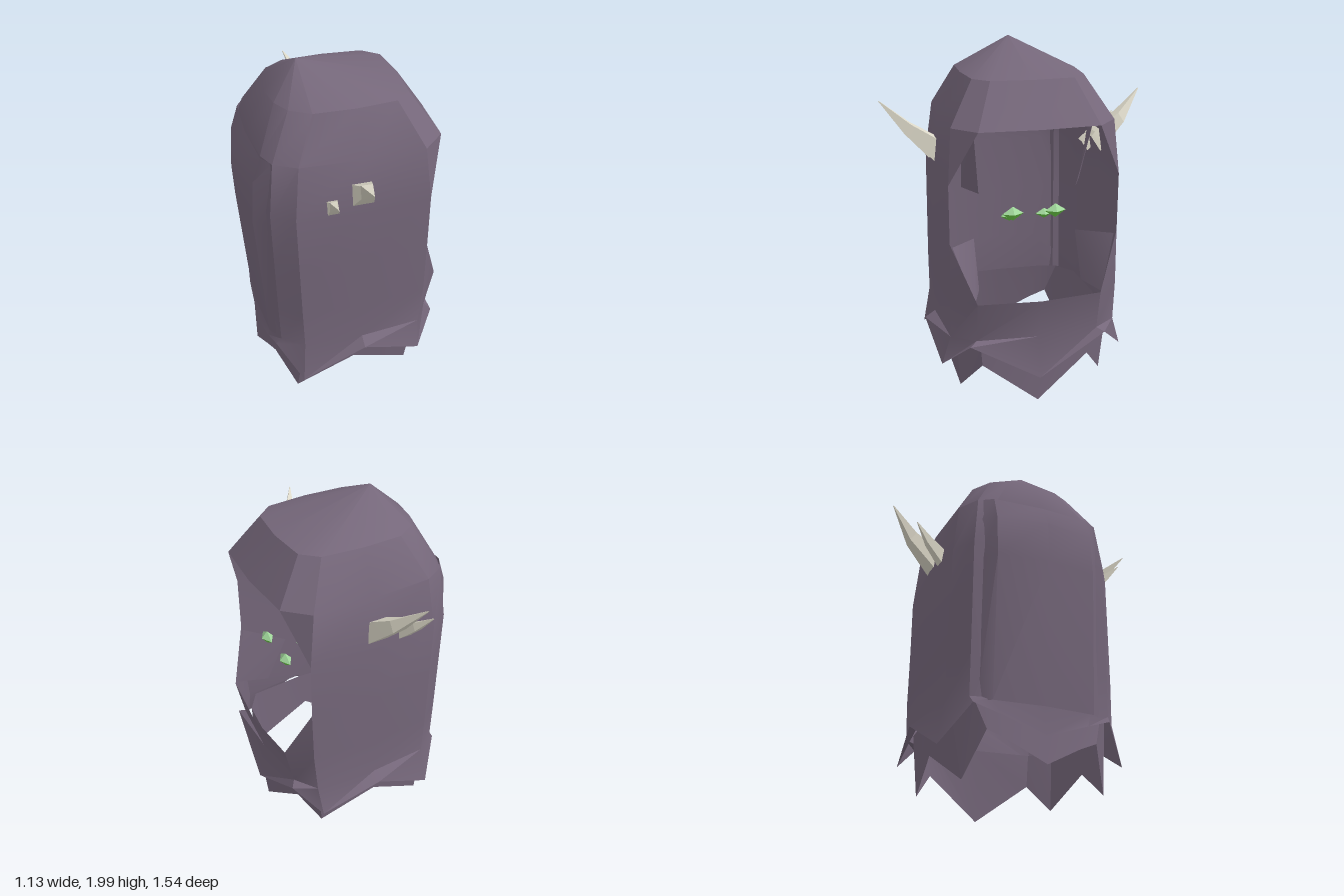
import * as THREE from 'three';
import { toCreasedNormals } from 'three/addons/utils/BufferGeometryUtils.js';

// Joins cross-sections (arrays of [x, y, z]) from top to bottom
function loft(rings, closed, crease = 0.5, skip = () => false) {
  const pos = [];
  const n = rings[0].length;
  for (let r = 0; r < rings.length - 1; r++) {
    for (let i = 0; i < (closed ? n : n - 1); i++) {
      if (skip(r, i)) continue;
      const j = (i + 1) % n;
      const a = rings[r][i], b = rings[r][j], c = rings[r + 1][j], d = rings[r + 1][i];
      pos.push(...a, ...b, ...c, ...a, ...c, ...d);
    }
  }
  const g = new THREE.BufferGeometry();
  g.setAttribute('position', new THREE.Float32BufferAttribute(pos, 3));
  return toCreasedNormals(g, crease);
}

// Half section from face (z = 0) to back (z = 0), completed by mirroring in z
function mirrorRing(half) {
  const other = half.slice(1, -1).reverse().map(([x, y, z]) => [x, y, -z]);
  return [...half, ...other];
}
const level = (y, pts) => mirrorRing(pts.map(([x, z]) => [x, y, z]));

export function createModel() {
  const model = new THREE.Group();
  const material = (name, color, side = THREE.FrontSide) => {
    const m = new THREE.MeshStandardMaterial({ color, side });
    m.name = name;
    return m;
  };
  const cloth = material('dusky purple cloth', 0x75677a, THREE.DoubleSide);
  const bone = material('pale bone', 0xdedaca);
  const paleGlow = material('pale green glow', 0xa2da9c);
  const glow = material('green glow', 0x6ccc48);

  const add = (name, geo, mat, parent = model) => {
    const m = new THREE.Mesh(geo, mat);
    m.name = name;
    parent.add(m);
    return m;
  };

  // Section order: face, face corner, corner, side, rear side, rear corner, rear edge, back
  const waist = [[0.51, 0], [0.48, 0.35], [0.39, 0.48], [0.03, 0.51], [-0.31, 0.49], [-0.43, 0.4], [-0.46, 0.28], [-0.47, 0]];
  const robe = [
    level(2, Array(8).fill([-0.2, 0])),
    level(1.84, [[0.37, 0], [0.35, 0.23], [0.26, 0.31], [0.03, 0.33], [-0.2, 0.32], [-0.31, 0.25], [-0.36, 0.15], [-0.38, 0]]),
    level(1.61, [[0.53, 0], [0.51, 0.33], [0.38, 0.45], [0.03, 0.46], [-0.31, 0.44], [-0.43, 0.37], [-0.47, 0.27], [-0.49, 0]]),
    level(1.31, [[0.42, 0], [0.415, 0.475], [0.415, 0.475], [0.03, 0.5], [-0.34, 0.48], [-0.46, 0.4], [-0.48, 0.28], [-0.49, 0]]),
    level(0.98, [[0.42, 0], [0.415, 0.475], [0.415, 0.475], [0.03, 0.505], [-0.33, 0.485], [-0.45, 0.4], [-0.47, 0.28], [-0.48, 0]]),
    level(0.66, [[0.565, 0], [0.53, 0.35], [0.41, 0.48], [0.03, 0.51], [-0.32, 0.49], [-0.44, 0.4], [-0.465, 0.28], [-0.475, 0]]),
    level(0.42, waist),
    // flared ragged hem
    mirrorRing([[0.55, 0.18, 0], [0.51, 0.4, 0.39], [0.38, 0.25, 0.53], [0.03, 0.38, 0.57],
      [-0.33, 0.18, 0.53], [-0.46, 0.38, 0.39], [-0.48, 0.33, 0.25], [-0.49, 0.24, 0]]),
  ];
  // Hooded robe with the face opening left out
  add('hoodedRobe', loft(robe, true, 0.5, (r, i) => r >= 2 && r <= 4 && (i === 0 || i === 13)), cloth);

  // Longer ragged underskirt
  add('underskirt', loft([
    level(0.44, waist.map(([x, z]) => [x * 0.93, z * 0.93])),
    mirrorRing([[0.5, 0.01, 0], [0.44, 0.24, 0.31], [0.34, 0.08, 0.42], [0, 0.22, 0.46],
      [-0.34, 0.01, 0.4], [-0.45, 0.25, 0.31], [-0.47, 0.2, 0.2], [-0.5, 0.09, 0]]),
  ], true), cloth);

  // Raised cape down the back
  const capeRow = (y, x, edge, inner) =>
    [[inner, y, 0.36], [edge, y, 0.29], [x, y, 0], [edge, y, -0.29], [inner, y, -0.36]];
  add('backCape', loft([
    capeRow(1.61, -0.492, -0.475, -0.43),
    capeRow(1.47, -0.565, -0.52, -0.45),
    capeRow(1.22, -0.57, -0.535, -0.45),
    capeRow(0.4, -0.495, -0.475, -0.43),
  ], false), cloth);

  // Curved horn: rectangular sections from tip to root
  function horn(name, side, sections) {
    const rings = sections.map(([x, y, z, w, h]) =>
      [[w, h], [w, -h], [-w, -h], [-w, h]].map(([u, v]) => [x + u, y + v * 0.83, (z - v * 0.55) * side]));
    if (side < 0) rings.forEach((r) => r.reverse());
    add(name, loft(rings, true, 0.2), bone);
  }

  for (const s of [1, -1]) {
    const label = s > 0 ? 'left' : 'right';
    horn(label + 'LargeHorn', s, [
      [-0.088, 1.675, 0.77, 0.002, 0.002], [-0.005, 1.53, 0.625, 0.036, 0.033],
      [0.022, 1.42, 0.48, 0.056, 0.055], [0.025, 1.395, 0.455, 0.057, 0.055]]);
    horn(label + 'SmallHorn', s, [
      [-0.208, 1.52, 0.655, 0.002, 0.002], [-0.165, 1.435, 0.57, 0.022, 0.022],
      [-0.14, 1.36, 0.48, 0.031, 0.036], [-0.138, 1.335, 0.45, 0.032, 0.036]]);

    // Ragged lining inside the hood: hanging prong and collar flap
    add(label + 'UpperLining', loft([
      [[0.38, 1.6, 0.33 * s], [0.22, 1.6, 0.36 * s]],
      [[0.25, 1.2, 0.28 * s], [0.1, 1.2, 0.35 * s]],
    ], false), cloth);
    add(label + 'CollarLining', loft([
      [[0.2, 0.92, 0.3 * s], [0.41, 0.96, 0.46 * s]],
      [[0.33, 0.66, 0.3 * s], [0.51, 0.66, 0.36 * s]],
    ], false), cloth);
  }

  // Four faceted eyes floating inside the hood, the lower pair set deeper
  const eyes = [
    [0.395, 1.12, 0.12, 0.06, 0.04], [0.395, 1.12, -0.12, 0.06, 0.04],
    [0.19, 1.035, 0.09, 0.052, 0.03], [0.19, 1.035, -0.115, 0.052, 0.03],
  ];
  const upperHalf = new THREE.ConeGeometry(1, 1, 4, 1, true).translate(0, 0.5, 0).toNonIndexed();
  upperHalf.computeVertexNormals();
  const lowerHalf = upperHalf.clone().rotateX(Math.PI);
  eyes.forEach(([x, y, z, w, h], i) => {
    const eye = new THREE.Group();
    eye.name = 'eye' + (i + 1);
    add('eyeTop', upperHalf, paleGlow, eye);
    add('eyeBottom', lowerHalf, glow, eye);
    eye.scale.set(0.035, h, w);
    eye.position.set(x, y, z);
    model.add(eye);
  });

  return model;
}
